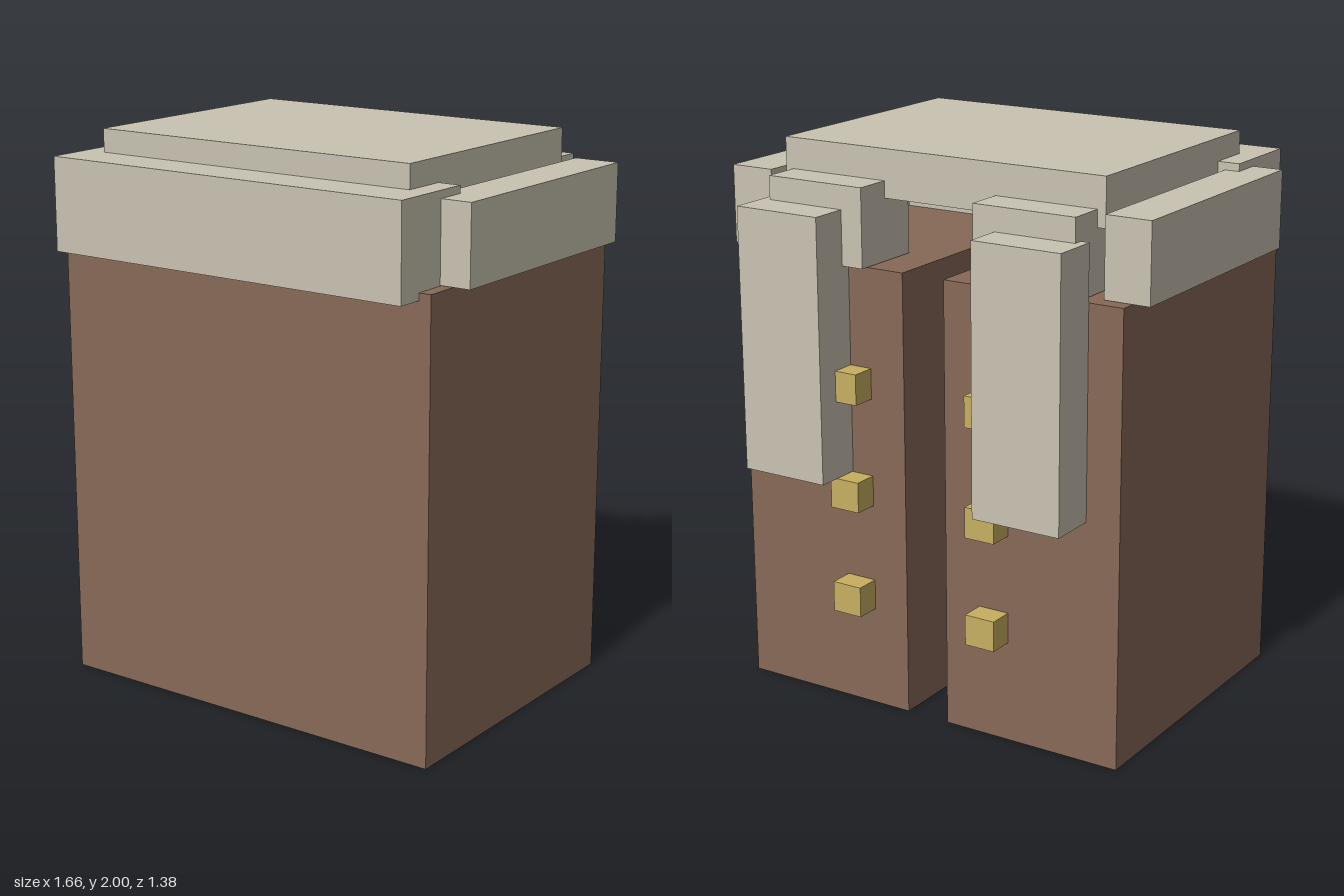
import * as THREE from 'three';

const material = (name, color) => {
  const m = new THREE.MeshStandardMaterial({ color });
  m.name = name;
  return m;
};

export function createModel() {
  const model = new THREE.Group();
  model.name = 'coatTorso';
  const brown = material('brownCloth', 0x876957);
  const cream = material('creamTrim', 0xc9c3b2);
  const gold = material('goldButton', 0xc8b062);

  // Box given by its [min, max] range on each axis
  const box = (name, mat, [x0, x1], [y0, y1], [z0, z1]) => {
    const mesh = new THREE.Mesh(new THREE.BoxGeometry(x1 - x0, y1 - y0, z1 - z0), mat);
    mesh.position.set((x0 + x1) / 2, (y0 + y1) / 2, (z0 + z1) / 2);
    mesh.name = name;
    model.add(mesh);
  };

  // Coat body: U-shaped plan with a full-height slit open to the back
  const plan = [
    [-0.765, 0.59], [0.765, 0.59], [0.765, -0.52], [0.083, -0.52],
    [0.083, 0.45], [-0.083, 0.45], [-0.083, -0.52], [-0.765, -0.52],
  ];
  const shape = new THREE.Shape(plan.map(([x, z]) => new THREE.Vector2(x, -z)));
  const bodyGeometry = new THREE.ExtrudeGeometry(shape, { depth: 1.61, bevelEnabled: false });
  bodyGeometry.rotateX(-Math.PI / 2);
  const body = new THREE.Mesh(bodyGeometry, brown);
  body.name = 'coatBody';
  model.add(body);

  // Collar: top plate and front band
  box('topPlate', cream, [-0.638, 0.638], [1.83, 2], [-0.418, 0.525]);
  box('frontBand', cream, [-0.72, 0.72], [1.585, 1.917], [0.36, 0.69]);

  // Mirrored parts on both sides of the slit
  for (const [side, s] of [['left', 1], ['right', -1]]) {
    const mirror = (a, b) => (s > 0 ? [a, b] : [-b, -a]);
    box(side + 'ShoulderBand', cream, mirror(0.665, 0.832), [1.612, 1.89], [-0.47, 0.47]);
    box(side + 'BackBand', cream, mirror(0.222, 0.607), [1.612, 1.89], [-0.555, -0.28]);
    box(side + 'Lapel', cream, mirror(0.305, 0.638), [0.867, 1.806], [-0.695, -0.52]);
    for (let i = 0; i < 3; i++) {
      const y = 0.365 + i * 0.39;
      box(side + 'Button' + (i + 1), gold, mirror(0.22, 0.335), [y, y + 0.11], [-0.61, -0.52]);
    }
  }
  return model;
}
